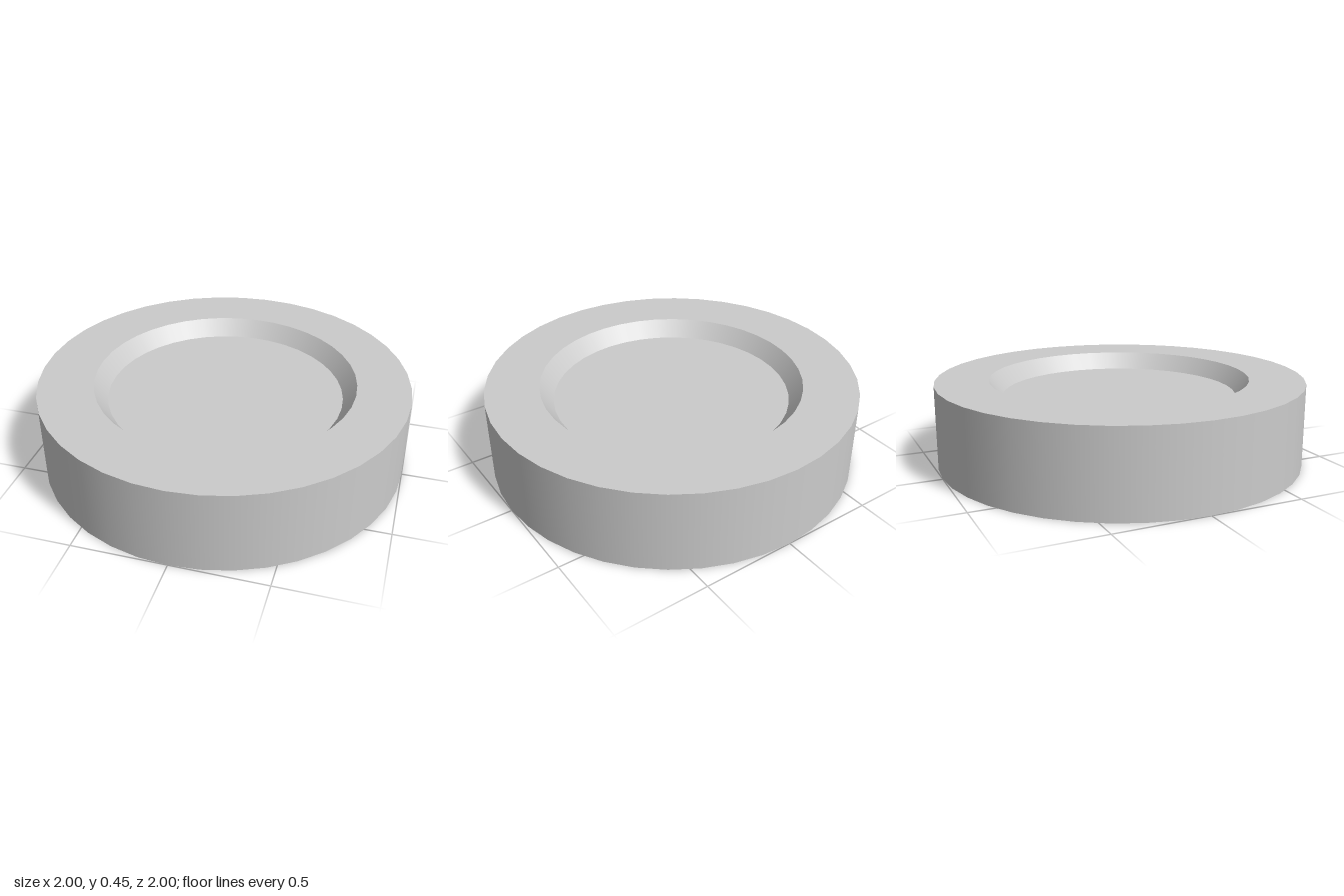
import * as THREE from 'three';

const SEGMENTS = 40;
const HEIGHT = 0.45, RADIUS = 1;
const RIM = 0.707, FLOOR = 0.638, DEPTH = 0.09;
// the recesses sit slightly off the disc's axis
const SHIFT_X = 0.006, SHIFT_Z = -0.003;

export function createModel() {
  const puck = new THREE.Group();
  puck.name = 'puck';
  const material = new THREE.MeshStandardMaterial({ color: 0xcccccc });

  // One surface of revolution per profile edge keeps the corners sharp
  function band(name, r0, y0, r1, y1) {
    const geometry = new THREE.LatheGeometry(
      [new THREE.Vector2(r0, y0), new THREE.Vector2(r1, y1)], SEGMENTS);
    const p = geometry.attributes.position;
    for (let i = 0; i < p.count; i++) {
      const x = p.getX(i), z = p.getZ(i);
      if (Math.hypot(x, z) < 0.9) {
        p.setX(i, x + SHIFT_X);
        p.setZ(i, z + SHIFT_Z);
      }
    }
    const mesh = new THREE.Mesh(geometry, material);
    mesh.name = name;
    puck.add(mesh);
  }

  // Profile from the underside centre, around the wall, to the top centre
  band('bottomRecessFloor', 0, DEPTH, FLOOR, DEPTH);
  band('bottomRecessSlope', FLOOR, DEPTH, RIM, 0);
  band('bottomRing', RIM, 0, RADIUS, 0);
  band('outerWall', RADIUS, 0, RADIUS, HEIGHT);
  band('topRing', RADIUS, HEIGHT, RIM, HEIGHT);
  band('topRecessSlope', RIM, HEIGHT, FLOOR, HEIGHT - DEPTH);
  band('topRecessFloor', FLOOR, HEIGHT - DEPTH, 0, HEIGHT - DEPTH);

  return puck;
}
